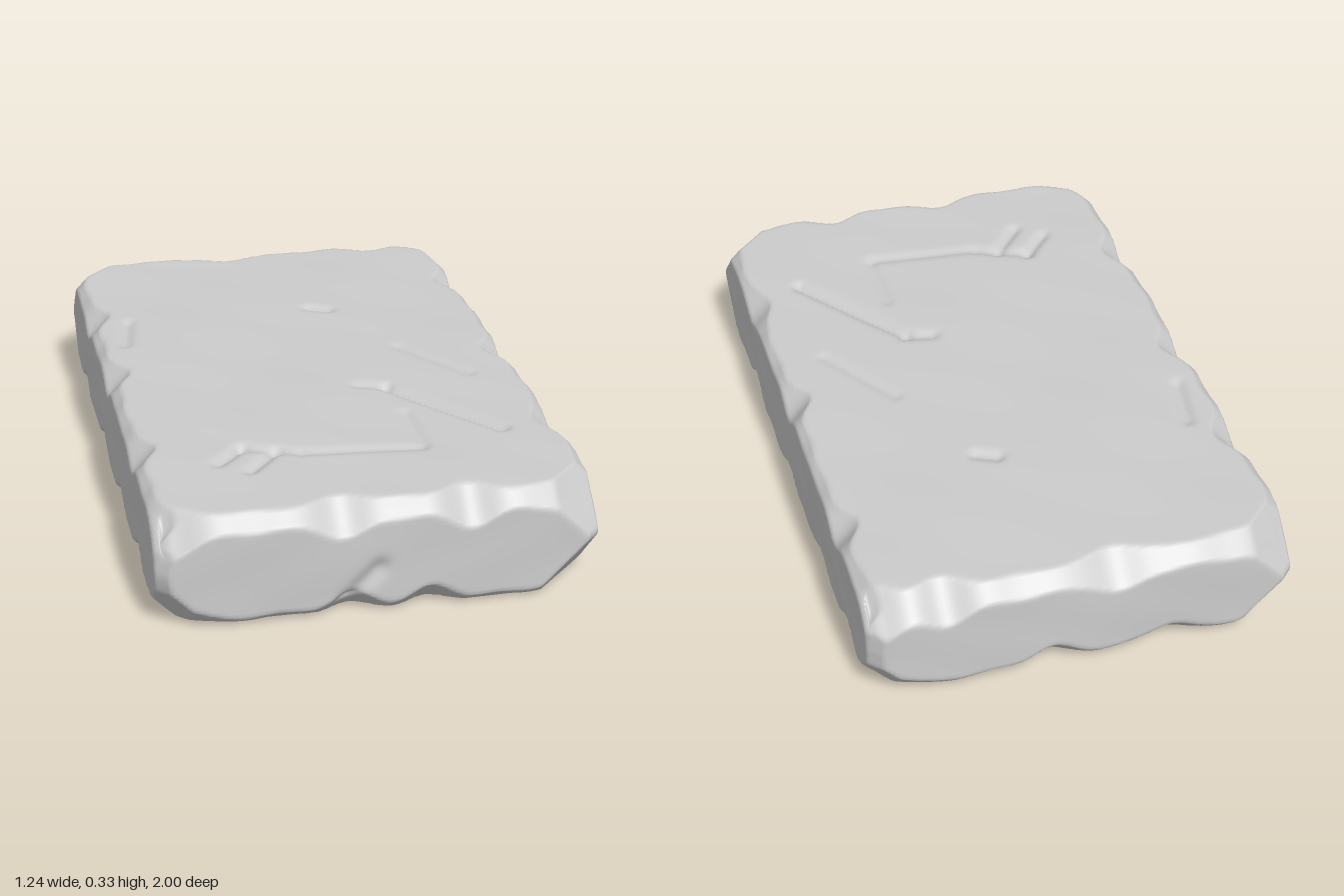
import * as THREE from 'three';
import { mergeVertices } from 'three/addons/utils/BufferGeometryUtils.js';

const HALF = new THREE.Vector3(0.62, 0.16, 1).toArray();

// A worn edge along `axis`, between the sides sa and sb of the next two axes
// (in x, y, z order); chips are the places where the bevel is knocked wider.
const edge = (axis, sa, sb, base, ...chips) => ({ axis, sa, sb, base, chips });
const EDGES = [
  // front and back edges
  edge(0, 1, 1, 0.045, -0.1, 0.25),
  edge(0, 1, -1, 0.05, -0.1, 0.4),
  edge(0, -1, 1, 0.02, -0.08, 0.14),
  edge(0, -1, -1, 0.03, -0.25, 0.1),
  // side edges
  edge(2, 1, 1, 0.025, -0.6, 0, 0.52),
  edge(2, -1, 1, 0.028, -0.52, -0.04, 0.5),
  edge(2, 1, -1, 0.025, -0.72, -0.42, 0, 0.5),
  edge(2, -1, -1, 0.03, -0.62, -0.15, 0.25, 0.6),
  // upright corners
  edge(1, 1, 1, 0.035),
  edge(1, 1, -1, 0.035),
  edge(1, -1, 1, 0.035),
  edge(1, -1, -1, 0.035),
];

// Scratches in the top
const scratch = (x1, z1, x2, z2, depth) => ({ x1, z1, x2, z2, depth });
const SCRATCHES = [
  scratch(0.11, 0.2, 0.19, 0.22, 0.012),
  scratch(0.19, 0.23, 0.45, 0.58, 0.018),
  scratch(0.2, 0.42, 0.2, 0.64, 0.008),
  scratch(-0.14, 0.63, 0.19, 0.66, 0.009),
  scratch(-0.39, 0.65, -0.31, 0.56, 0.014),
  scratch(-0.31, 0.56, -0.16, 0.62, 0.01),
  scratch(-0.31, 0.71, -0.22, 0.6, 0.014),
  scratch(0.3, -0.07, 0.46, 0.18, 0.008),
  scratch(-0.53, -0.25, -0.5, -0.43, 0.012),
  scratch(0.09, -0.44, 0.15, -0.41, 0.015),
];
// Gouge rising from the lower front edge, measured in x and y
const GOUGE = scratch(-0.1, -0.12, -0.01, -0.03, 0.015);

const bump = (d, width) => Math.exp(-((d / width) ** 2));

// Bevel width: base wear, slight waviness, wider chips and flared ends
function bevelWidth({ axis, base, chips }, t, n) {
  const chip = chips.reduce((w, c) => w + 0.045 * bump(t - c, 0.075), 0);
  const flare = (axis === 1 ? 0.03 : 0.07) * bump(HALF[axis] - Math.abs(t), 0.11);
  return base + chip + flare + 0.004 * Math.sin(31 * t + n * 2);
}

function groove(u, v, { x1, z1, x2, z2, depth }, width) {
  const dx = x2 - x1, dz = z2 - z1;
  const k = THREE.MathUtils.clamp(((u - x1) * dx + (v - z1) * dz) / (dx * dx + dz * dz), 0, 1);
  return depth * bump(Math.hypot(u - x1 - k * dx, v - z1 - k * dz), width);
}

const ripple = (u, v) =>
  0.5 * Math.sin(7 * u + 3 * v + 1) * Math.sin(5 * v - 2 * u) + 0.3 * Math.sin(13 * u - 6 * v) * Math.sin(11 * v + 2);

function stoneGeometry() {
  const box = new THREE.BoxGeometry(HALF[0] * 2, HALF[1] * 2, HALF[2] * 2, 100, 28, 160);
  box.deleteAttribute('normal');
  box.deleteAttribute('uv');
  const geo = mergeVertices(box, 1e-4);
  const pos = geo.attributes.position;
  for (let i = 0; i < pos.count; i++) {
    const start = [pos.getX(i), pos.getY(i), pos.getZ(i)];
    const [x, y, z] = start;
    const p = [x, y, z];

    // flatten each edge onto its bevel
    EDGES.forEach((e, n) => {
      const a = (e.axis + 1) % 3, b = (e.axis + 2) % 3;
      const inset = HALF[a] - p[a] * e.sa + HALF[b] - p[b] * e.sb;
      const push = Math.max(0, bevelWidth(e, start[e.axis], n) - inset) / 2;
      p[a] -= e.sa * push;
      p[b] -= e.sb * push;
    });

    // knock off the eight corners
    const inset = p.reduce((sum, v, k) => sum + HALF[k] - Math.abs(v), 0);
    const cut = Math.max(0, 0.17 + 0.02 * Math.sign(x * z) - inset) / 3;
    start.forEach((v, k) => { p[k] -= Math.sign(v) * cut; });

    // uneven faces
    p[0] -= x * 0.005 * (1 + ripple(z, y * 2));
    p[1] += y * 0.03 * ripple(x, z);
    p[2] -= z * 0.003 * (1 + ripple(x, y * 2));

    // scratches on the top and the gouge on the front
    if (y > HALF[1] - 1e-4) SCRATCHES.forEach((s) => { p[1] -= groove(x, z, s, 0.018); });
    if (z > HALF[2] - 1e-4) p[2] -= groove(x, y, GOUGE, 0.025);

    pos.setXYZ(i, p[0], p[1] + 0.165, p[2]);
  }
  geo.computeVertexNormals();
  return geo;
}

export function createModel() {
  const stone = new THREE.MeshStandardMaterial({ color: 0xcccccc });
  stone.name = 'light grey stone';
  const slab = new THREE.Mesh(stoneGeometry(), stone);
  slab.name = 'stoneSlab';
  const group = new THREE.Group();
  group.name = 'chippedStoneSlab';
  group.add(slab);
  return group;
}
